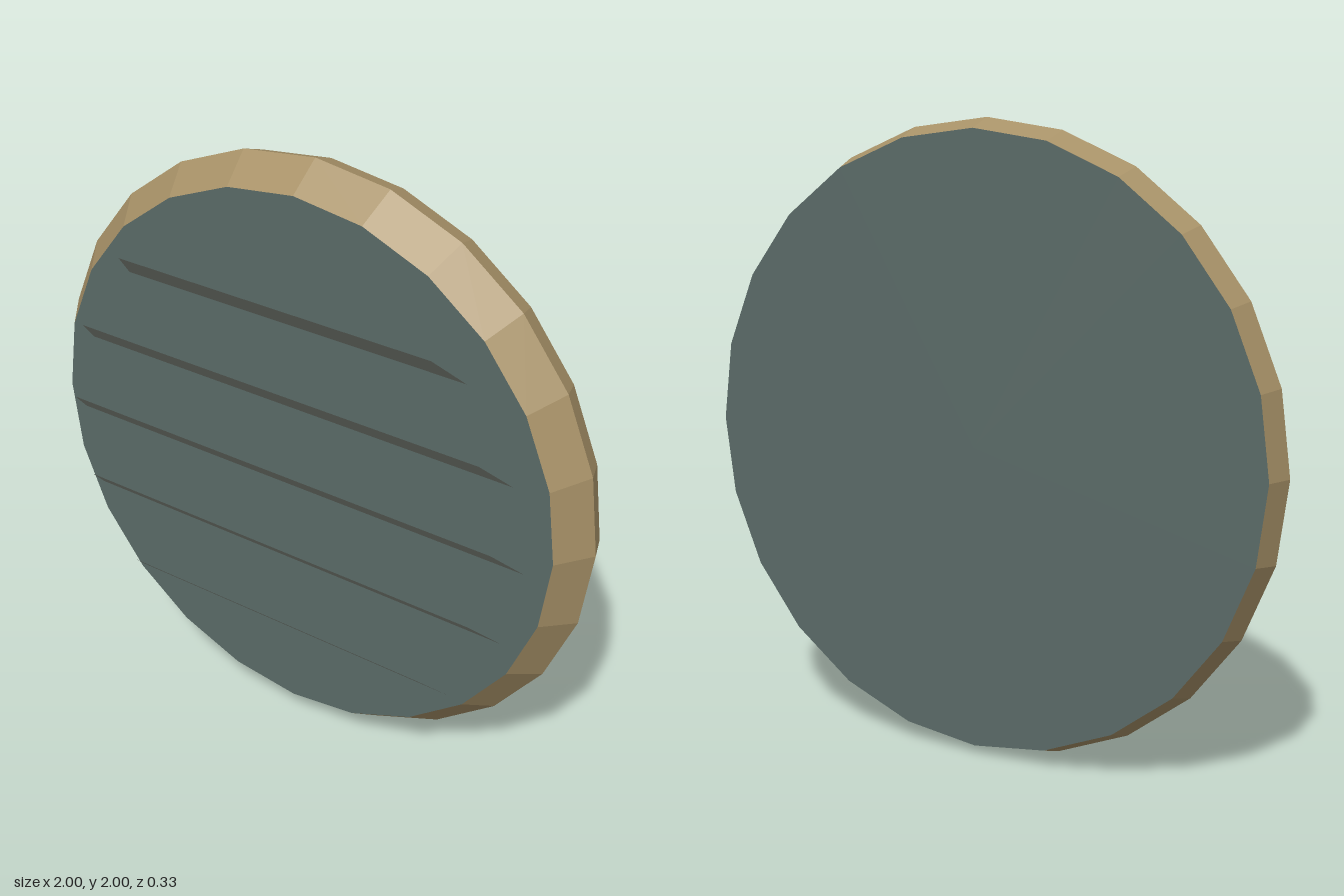
import * as THREE from 'three';

const SIDES = 24;
const CENTRE_Y = 1;
const FRONT = { z: 0.03, r: 0.92 };
const RIDGE = { z: -0.082, r: 1 };
const BACK = { z: -0.165, r: 0.97 };

export function createModel() {
  const bronze = new THREE.MeshStandardMaterial({ color: 0xa89268, flatShading: true });
  bronze.name = 'bronze';
  const darkTeal = new THREE.MeshStandardMaterial({ color: 0x5a6a67, flatShading: true });
  darkTeal.name = 'dark teal';
  const greyGreen = new THREE.MeshStandardMaterial({ color: 0x878e83, flatShading: true, side: THREE.DoubleSide });
  greyGreen.name = 'grey green';

  const model = new THREE.Group();
  model.name = 'roundVent';

  const add = (name, geometry, material) => {
    const mesh = new THREE.Mesh(geometry, material);
    mesh.name = name;
    model.add(mesh);
    return mesh;
  };

  // Bevelled rim, turned so its axis runs front to back
  const profile = [BACK, RIDGE, FRONT].map(p => new THREE.Vector2(p.r, p.z));
  const rim = new THREE.LatheGeometry(profile, SIDES).rotateX(Math.PI / 2);
  add('rim', rim, bronze).position.y = CENTRE_Y;

  // Flat faces closing the rim on both sides
  const frontFace = add('frontFace', new THREE.CircleGeometry(FRONT.r, SIDES), darkTeal);
  frontFace.position.set(0, CENTRE_Y, FRONT.z);
  const backFace = add('backFace', new THREE.CircleGeometry(BACK.r, SIDES), darkTeal);
  backFace.position.set(0, CENTRE_Y, BACK.z);
  backFace.rotation.y = Math.PI;

  // Slanted louvre slats, each a sheet leaning up and forward, narrower at its top
  [0.615, 0.785, 0.84, 0.785, 0.615].forEach((half, i) => {
    const y = CENTRE_Y + (2 - i) * 0.2825;
    const top = half - 0.055;
    const slat = new THREE.BufferGeometry();
    slat.setAttribute('position', new THREE.Float32BufferAttribute([
      -half, y - 0.052, 0.053,
      half, y - 0.052, 0.053,
      top, y + 0.055, 0.163,
      -top, y + 0.055, 0.163,
    ], 3));
    slat.setIndex([0, 1, 2, 0, 2, 3]);
    slat.computeVertexNormals();
    add(`slat${i + 1}`, slat, greyGreen);
  });

  return model;
}
